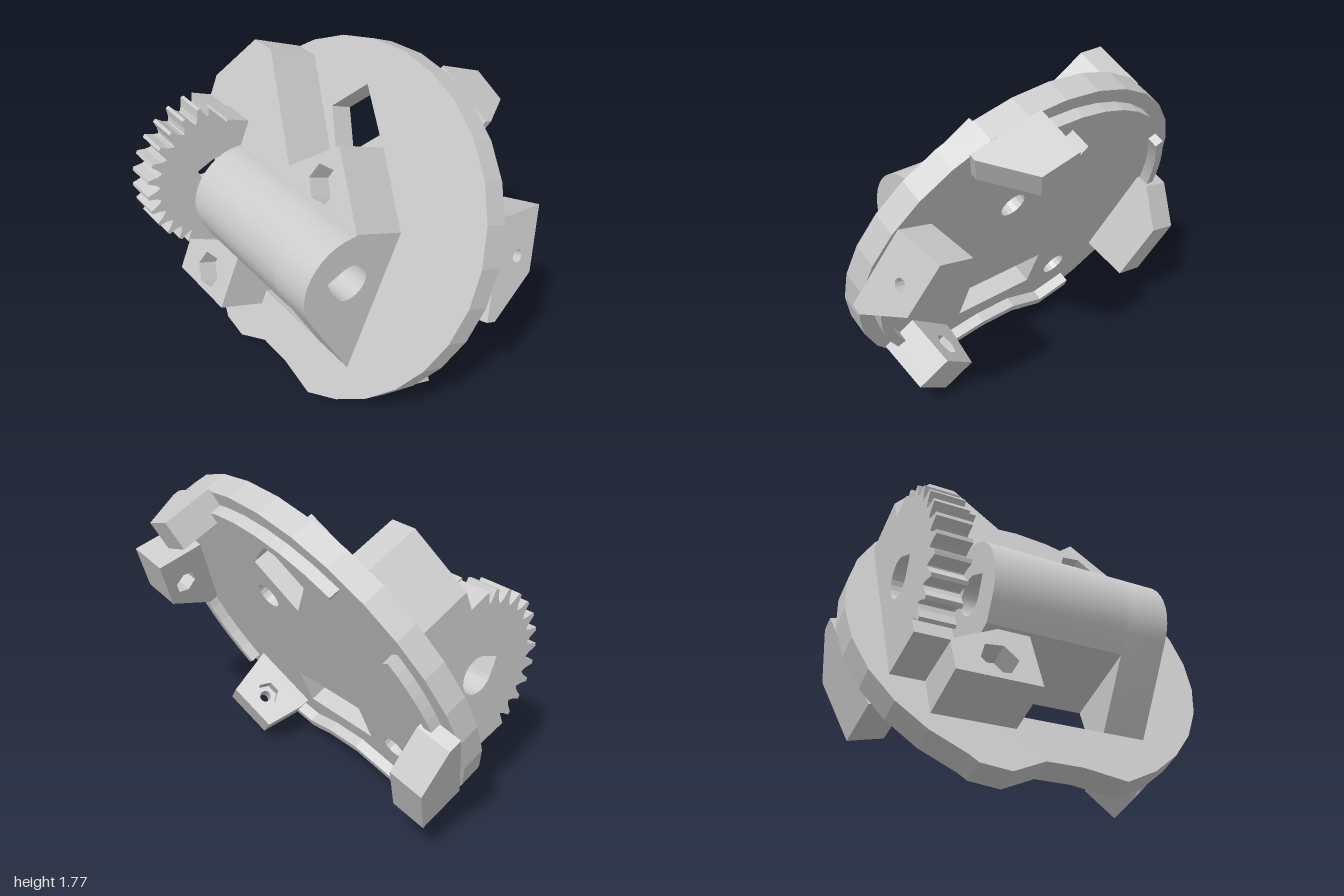
import * as THREE from 'three';
import { toCreasedNormals } from 'three/addons/utils/BufferGeometryUtils.js';

const gray = new THREE.MeshStandardMaterial({ color: 0xcccccc });
gray.name = 'plain gray';

const toPath = (pts, Type = THREE.Path) => new Type(pts.map(([a, b]) => new THREE.Vector2(a, b)));

// regular polygon outline, used for bolt holes and nut pockets
function ngon(cx, cy, r, n, turn = 0) {
  return Array.from({ length: n }, (_, i) => {
    const a = turn + (i / n) * Math.PI * 2;
    return [cx + r * Math.cos(a), cy + r * Math.sin(a)];
  });
}

function prism(outline, depth, holes = []) {
  const shape = toPath(outline, THREE.Shape);
  shape.holes = holes.map((h) => toPath(h));
  return new THREE.ExtrudeGeometry(shape, { depth, bevelEnabled: false });
}

// Plate frame: x across, y up the plate, z out of its front face
const BACK = 0.286, FRONT = 0.412, RAISED = 0.705;
const X = new THREE.Vector3(1, 0, 0), Y = new THREE.Vector3(0, 1, 0), Z = new THREE.Vector3(0, 0, 1);

// point on the slightly skewed disc rim
const rim = (deg, k = 1) => {
  const a = THREE.MathUtils.degToRad(deg), c = Math.cos(a);
  return [k * c, 0.82 + k * (0.09 * c + 0.95 * Math.sin(a))];
};

export function createModel() {
  const model = new THREE.Group();
  const body = new THREE.Group();
  body.name = 'tiltedBody';
  body.rotation.x = THREE.MathUtils.degToRad(-23.8);
  model.add(body);

  const add = (name, geo) => {
    const mesh = new THREE.Mesh(geo, gray);
    mesh.name = name;
    body.add(mesh);
    return mesh;
  };
  // outline in (x, y), extruded from z0 to z1
  const slab = (name, outline, z0, z1, holes) =>
    add(name, prism(outline, z1 - z0, holes).translate(0, 0, z0));
  // outline in (y, z), extruded from x0 to x1
  const across = (name, outline, x0, x1, holes, smooth) => {
    let geo = prism(outline, x1 - x0, holes);
    geo.applyMatrix4(new THREE.Matrix4().makeBasis(Y, Z, X).setPosition(x0, 0, 0));
    if (smooth) geo = toCreasedNormals(geo, 0.45);
    return add(name, geo);
  };

  // Disc with a shallow notch in the bottom, a slot, a diamond and two bolt holes
  const boltA = [0.18, 1.11], boltB = [-0.42, 0.275];
  const outline = [];
  for (let d = -72; d <= 240; d += 12) outline.push(rim(d));
  outline.push([-0.457, -0.085], [-0.3, -0.105], [-0.115, -0.015], [0.078, -0.015]);
  slab('disc', outline, BACK, FRONT, [
    [[-0.23, 0.235], [0.26, 0.235], [0.26, 0.475], [-0.23, 0.475]],
    [[-0.04, 1.545], [0.15, 1.36], [-0.06, 1.12], [-0.22, 1.35]],
    ngon(...boltA, 0.07, 16), ngon(...boltB, 0.07, 16),
  ]);

  // Raised pads: a round bolt hole below, a hexagonal nut pocket above
  const pad = (name, pts, bolt, top) => {
    slab(name + 'Base', pts, FRONT, 0.58, [ngon(...bolt, 0.045, 14)]);
    slab(name + 'Top', pts, 0.58, top, [ngon(...bolt, 0.098, 6, 0.15)]);
  };
  pad('upperPad', [[-0.82, 1.12], [-0.46, 1.12], [-0.46, 0.98], [0.49, 0.98], [0.49, 1.012],
    [0.2, 1.318], [-0.07, 1.078], [-0.46, 1.525], [-0.6, 1.525], [-0.82, 1.24]], boltA, RAISED);
  pad('lowerPad', [[-0.65, 0.152], [-0.23, 0.152], [-0.23, 0.483], [-0.38, 0.483], [-0.65, 0.335]],
    boltB, 0.69);

  // Barrel with a teardrop bore; the leg reaches lower at one end only
  const cy = 0.752, cz = 0.632, R = 0.262;
  const arc = (r, from, to, n) => Array.from({ length: n + 1 }, (_, i) => {
    const a = THREE.MathUtils.degToRad(from + ((to - from) * i) / n);
    return [cy + r * Math.cos(a), cz + r * Math.sin(a)];
  });
  const bore = [...arc(0.1, 135, 405, 18), [cy, cz + 0.1414]];
  const curve = [[1.014, FRONT], ...arc(R, 0, 142, 14)];
  across('barrel', [...curve, [0.475, 0.71], [0.475, FRONT]], -0.46, 0.26, [bore], true);
  across('barrelLeg', [...curve, [0.235, FRONT]], 0.26, 0.49, [bore], true);

  // Gear sector growing out of the plate
  const gear = [[1.13, FRONT], [1.13, 0.83]];
  const teeth = 11, step = 141 / teeth;
  for (let i = 0; i < teeth; i++) {
    const a = 29 + (i + 0.5) * step;
    for (const [da, r] of [[-0.46, 0.362], [-0.27, 0.385], [-0.1, 0.432], [0.1, 0.432], [0.27, 0.385], [0.46, 0.362]]) {
      gear.push(arc(r, a + da * step, 0, 1)[0]);
    }
  }
  gear.push([0.318, 0.697], [0.345, FRONT]);
  across('gear', gear, -0.82, -0.65, [bore]);
  across('gearBrace', [[1.043, FRONT], [1.14, FRONT], [1.14, 0.837], [1.125, 0.837]], -0.65, -0.46);

  // Rear lugs: profile in (along rim, z), extruded inward from the rim
  const lug = (name, [px, py], [tx, ty], depth, profile, hole) => {
    const t = new THREE.Vector3(tx, ty, 0).normalize();
    const out = new THREE.Vector3().crossVectors(t, Z);
    const place = (suffix, from, to, holes) => {
      const geo = prism(profile, to - from, holes);
      const origin = new THREE.Vector3(px, py, 0).addScaledVector(out, from - depth);
      geo.applyMatrix4(new THREE.Matrix4().makeBasis(t, Z, out).setPosition(origin));
      add(name + suffix, geo);
    };
    if (!hole) return place('', 0, depth);
    place('Inner', 0, depth * 0.45, [ngon(...hole, 0.065, 6)]);
    place('Outer', depth * 0.45, depth, [ngon(...hole, 0.032, 12)]);
  };
  lug('topLug', [0.35, 1.74], [-0.94, 0.34], 0.15,
    [[0.1, BACK], [0.1, 0.02], [-0.1, 0.02], [-0.27, 0.25], [-0.27, BACK]]);
  lug('leftLug', [0.95, 1.12], [-0.308, 0.951], 0.2,
    [[0.2, BACK], [0.26, 0.02], [-0.06, 0.015], [-0.28, 0.23], [-0.28, BACK]], [0.02, 0.132]);
  lug('lowerLeftLug', [0.605, 0.152], [0.75, 0.66], 0.2,
    [[0.19, BACK], [0.14, 0.015], [-0.14, 0.015], [-0.19, 0.23], [-0.19, BACK]], [0, 0.137]);
  lug('lowerRightLug', [-0.93, 0.458], [0.28, -0.96], 0.19,
    [[0.2, BACK], [0.18, 0.015], [-0.18, 0.015], [-0.34, 0.21], [-0.34, BACK]]);

  // Thin ridges just inside the rim on the back
  for (const [from, to] of [[70, 125], [148, 174], [-38, 2]]) {
    const outer = [], inner = [];
    for (let i = 0; i <= 6; i++) {
      const d = from + ((to - from) * i) / 6;
      outer.push(rim(d, 0.92));
      inner.unshift(rim(d, 0.87));
    }
    slab('rearRidge', [...outer, ...inner], 0.225, BACK);
  }
  const low = [[-0.55, 0.06], [-0.36, -0.01], [-0.12, 0.08], [0.1, 0.08], [0.28, 0.04], [0.48, 0.1]];
  slab('bottomRidge', [...low, ...low.map(([x, y]) => [x, y + 0.045]).reverse()], 0.225, BACK);

  return model;
}
